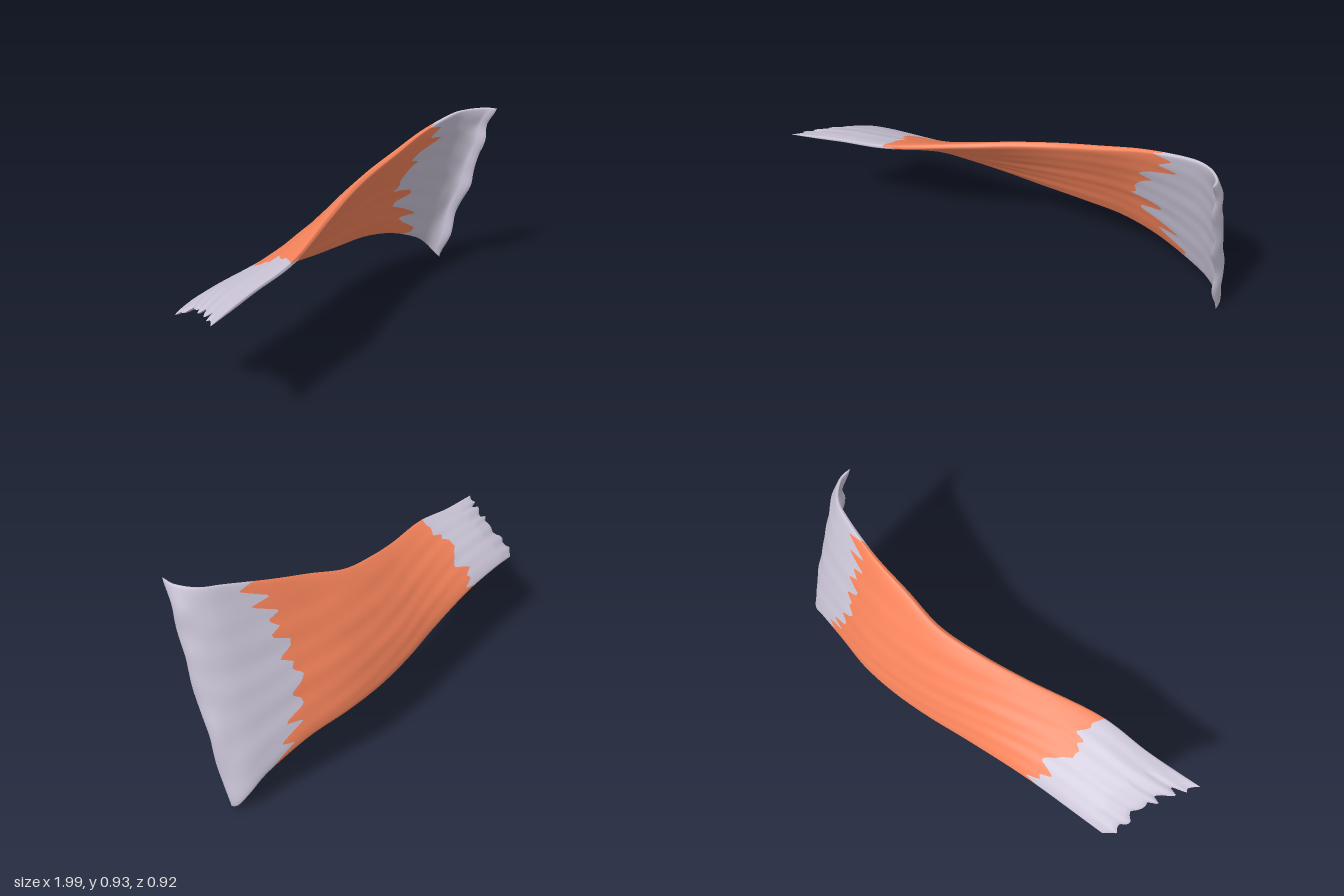
import * as THREE from 'three';

// Cross-sections along the strap: upper edge, middle, lower edge (x, y, z each)
const SECTIONS = [
  [-1.0, 0.548, 0.465, -0.975, 0.495, 0.25, -0.95, 0.395, 0.035],
  [-0.75, 0.573, 0.365, -0.75, 0.512, 0.155, -0.75, 0.4, -0.03],
  [-0.5, 0.607, 0.28, -0.5, 0.515, 0.065, -0.5, 0.385, -0.112],
  [-0.2, 0.658, 0.10, -0.2, 0.515, -0.085, -0.2, 0.345, -0.222],
  [0, 0.70, -0.012, 0, 0.515, -0.18, 0, 0.31, -0.298],
  [0.2, 0.742, -0.10, 0.2, 0.525, -0.25, 0.2, 0.285, -0.365],
  [0.4, 0.803, -0.137, 0.4, 0.54, -0.295, 0.4, 0.268, -0.412],
  [0.6, 0.862, -0.175, 0.6, 0.55, -0.31, 0.6, 0.233, -0.428],
  [0.8, 0.912, -0.185, 0.8, 0.53, -0.315, 0.8, 0.155, -0.44],
  [0.9, 0.925, -0.17, 0.9, 0.51, -0.305, 0.89, 0.09, -0.445],
  [0.97, 0.935, -0.11, 0.96, 0.50, -0.27, 0.935, 0.035, -0.425],
  [0.99, 0.94, -0.045, 0.972, 0.49, -0.20, 0.955, 0.003, -0.385],
];
const RING = 160;

const rails = [0, 3, 6].map((k) => new THREE.CatmullRomCurve3(
  SECTIONS.map((s) => new THREE.Vector3(s[k], s[k + 1], s[k + 2])), false, 'catmullrom', 0.5));

// Repeatable value noise, piecewise linear for a torn, toothed outline
const hash = (n) => { const s = Math.sin(n * 127.1 + 11.7) * 43758.5453; return s - Math.floor(s); };
const teeth = (t) => {
  const i = Math.floor(t), a = hash(i), b = hash(i + 1);
  return a + (b - a) * (t - i) - 0.5;
};

// Middle surface of the strap: a parabola through the three rails, wavy at the wide rim
function sheet(u, v) {
  const [a, m, b] = rails.map((r) => r.getPoint(Math.min(1, Math.max(0, u))));
  const p = a.multiplyScalar((1 - v) * (1 - 2 * v))
    .add(m.multiplyScalar(4 * v * (1 - v)))
    .add(b.multiplyScalar(v * (2 * v - 1)));
  const rim = THREE.MathUtils.smoothstep(u, 0.8, 1);
  const wave = 0.025 * Math.sqrt(Math.sin(Math.PI * v)) * v * Math.cos((v - 0.5) * 18);
  const hook = -0.03 * Math.exp(-(((v - 0.11) / 0.07) ** 2));
  p.z += rim * (wave + hook);
  return p;
}

// Outlines of the free ends and of the colour borders, across the strap
const startAt = (v) => 0.002 + 0.026 * (teeth(v * 22) + 0.5) * Math.min(1, v * 6);
const endAt = (v) => 0.996 + 0.008 * teeth(v * 14 + 50);
const lowBorder = (v, side) => (side < 0 ? 0.185 : 0.17) + 0.035 * teeth(v * 20 + 90);
const highBorder = (v, side) => 0.635 + 0.06 * (2 * v - 1) ** 2
  + (side < 0 ? 0.1 * teeth(v * 22 + 130) : 0.06 * teeth(v * 22 + 170));

// Point on the skin; side is +1 on the back, -1 on the front
function skin(u, v, side) {
  const e = 0.004;
  const u0 = Math.max(0, u - e), u1 = Math.min(1, u + e);
  const v0 = Math.max(0, v - e), v1 = Math.min(1, v + e);
  const n = sheet(u1, v).sub(sheet(u0, v)).cross(sheet(u, v1).sub(sheet(u, v0))).normalize();
  const belly = (0.018 + 0.017 * Math.sin(Math.PI * Math.min(1, u * 1.1)) ** 2) * (0.85 + 0.35 * v);
  const taper = Math.min(1, Math.max(0, (u - startAt(v)) / 0.05))
    * Math.min(1, Math.max(0, (endAt(v) - u) / 0.04));
  const round = Math.sign(side) * Math.abs(side) ** 0.5;
  const fibres = 0.001 * Math.sin(v * 38 + 5 * Math.sin(u * 5 + side))
    + 0.001 * Math.sin(v * 21 + u * 9 + 2);
  return sheet(u, v).addScaledVector(n, round * belly * Math.sqrt(taper) + fibres * Math.abs(side));
}

export function createModel() {
  // Columns run along the strap in three stretches that share their borders
  const stretches = [
    { name: 'narrowTendon', columns: 32, from: startAt, to: lowBorder, color: 0xc8c2d4 },
    { name: 'muscleBelly', columns: 70, from: lowBorder, to: highBorder, color: 0xf4825a },
    { name: 'wideTendon', columns: 48, from: highBorder, to: endAt, color: 0xc8c2d4 },
  ];
  const positions = [];
  const addColumn = (s, t) => {
    for (let i = 0; i < RING; i++) {
      const w = (i / RING) * Math.PI * 2;
      const v = (1 - Math.cos(w)) / 2, side = Math.sin(w);
      const u = THREE.MathUtils.lerp(s.from(v, side), s.to(v, side), t);
      positions.push(...skin(u, v, side).toArray());
    }
  };
  addColumn(stretches[0], 0);
  for (const s of stretches) {
    for (let j = 1; j <= s.columns; j++) addColumn(s, j / s.columns);
  }

  const quads = (first, count) => {
    const index = [];
    for (let j = first; j < first + count; j++) {
      for (let i = 0; i < RING; i++) {
        const k = (i + 1) % RING;
        const a = j * RING + i, b = a + RING, d = j * RING + k, c = d + RING;
        index.push(a, b, d, b, c, d);
      }
    }
    return index;
  };

  // Normals come from the whole strap so shading flows across the borders
  const whole = new THREE.BufferGeometry();
  whole.setAttribute('position', new THREE.Float32BufferAttribute(positions, 3));
  whole.setIndex(quads(0, stretches.reduce((sum, s) => sum + s.columns, 0)));
  whole.computeVertexNormals();

  const group = new THREE.Group();
  group.name = 'strapMuscle';
  let first = 0;
  for (const s of stretches) {
    const part = whole.clone().setIndex(quads(first, s.columns)).toNonIndexed();
    const mesh = new THREE.Mesh(part, new THREE.MeshStandardMaterial({
      color: s.color, side: THREE.DoubleSide }));
    mesh.name = s.name;
    group.add(mesh);
    first += s.columns;
  }
  return group;
}
